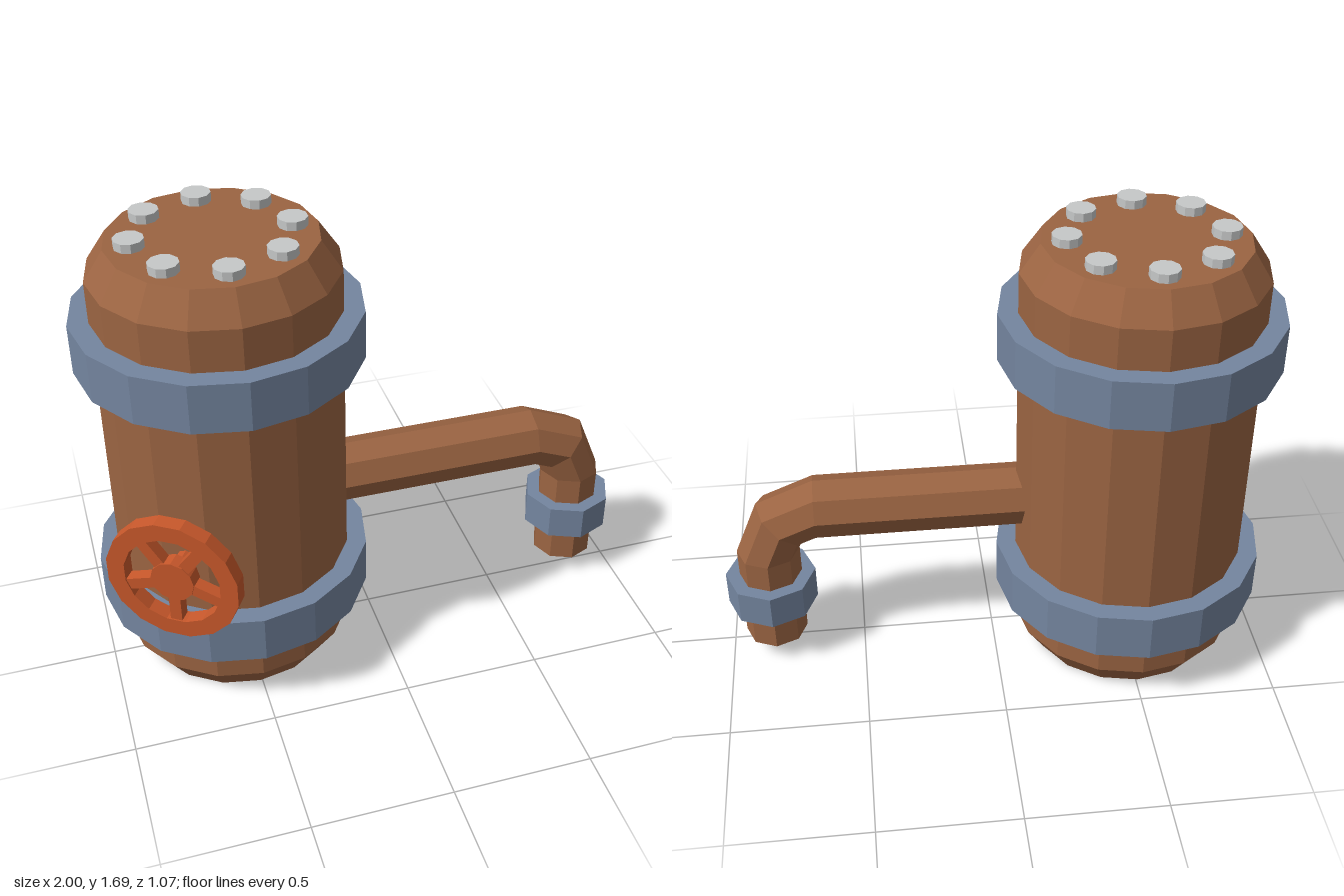
import * as THREE from 'three';

const flat = (name, color) => {
  const m = new THREE.MeshStandardMaterial({ color, flatShading: true });
  m.name = name;
  return m;
};

// Eight-sided pipe swept through a list of sections [x, y, angle of the outer side]
function pipeGeometry(sections, radius, sides) {
  const pos = [], idx = [];
  for (const [x, y, a] of sections) {
    for (let j = 0; j < sides; j++) {
      const t = (j / sides) * Math.PI * 2, r = radius * Math.cos(t);
      pos.push(x + r * Math.cos(a), y + r * Math.sin(a), radius * Math.sin(t));
    }
  }
  for (let i = 0; i < sections.length - 1; i++) {
    for (let j = 0; j < sides; j++) {
      const k = (j + 1) % sides, p = i * sides, q = p + sides;
      idx.push(p + j, p + k, q + k, p + j, q + k, q + j);
    }
  }
  // Cap at the outlet
  const end = (sections.length - 1) * sides;
  for (let j = 1; j < sides - 1; j++) idx.push(end, end + j, end + j + 1);
  const g = new THREE.BufferGeometry();
  g.setAttribute('position', new THREE.Float32BufferAttribute(pos, 3));
  g.setIndex(idx);
  g.computeVertexNormals();
  return g;
}

// Corners of a regular polygon with a flat top
const polygon = (r, n) => Array.from({ length: n }, (_, i) => {
  const a = ((i + 0.5) / n) * Math.PI * 2;
  return new THREE.Vector2(r * Math.cos(a), r * Math.sin(a));
});

export function createModel() {
  const copper = flat('copper', 0x9b6442);
  const steel = flat('blue steel', 0x74859f);
  const silver = flat('silver', 0xc6c8c8);
  const orange = flat('orange', 0xc8582b);

  const model = new THREE.Group();
  model.name = 'boilerTank';
  const add = (name, geo, mat, x, y, z, parent = model) => {
    const m = new THREE.Mesh(geo, mat);
    m.name = name;
    m.position.set(x, y, z);
    parent.add(m);
    return m;
  };

  // Tank with chamfered ends
  const tank = new THREE.Group();
  tank.name = 'tank';
  tank.position.set(-0.507, 0, -0.048);
  model.add(tank);
  const profile = [[0, 0], [0.352, 0], [0.422, 0.105], [0.422, 1.55], [0.352, 1.655], [0, 1.655]]
    .map(([r, y]) => new THREE.Vector2(r, y));
  add('tankBody', new THREE.LatheGeometry(profile, 16), copper, 0, 0, 0, tank);

  // Steel bands
  for (const y of [0.335, 1.313]) {
    add('band', new THREE.CylinderGeometry(0.493, 0.493, 0.178, 16), steel, 0, y, 0, tank);
  }

  // Lid bolts
  for (let i = 0; i < 8; i++) {
    const a = (i / 8) * Math.PI * 2;
    add('bolt', new THREE.CylinderGeometry(0.051, 0.051, 0.04, 10), silver,
      0.266 * Math.sin(a), 1.666, 0.266 * Math.cos(a), tank);
  }

  // Outlet pipe with an elbow, and its collar
  const bend = 0.182, cx = 0.65, cy = 0.458;
  const sections = [[-0.25, 0.64, Math.PI / 2]];
  for (const a of [Math.PI / 2, Math.PI / 4, 0]) {
    sections.push([cx + bend * Math.cos(a), cy + bend * Math.sin(a), a]);
  }
  sections.push([0.832, 0.075, 0]);
  add('outletPipe', pipeGeometry(sections, 0.115, 8), copper, 0, 0, -0.035);
  add('pipeCollar', new THREE.CylinderGeometry(0.166, 0.166, 0.13, 8), steel, 0.833, 0.285, -0.035);

  // Valve wheel: rim, hub, five spokes and a short stem
  const wheel = new THREE.Group();
  wheel.name = 'valveWheel';
  wheel.position.set(-0.787, 0.643, 0.382);
  wheel.rotation.y = -0.583;
  model.add(wheel);
  const rim = new THREE.Shape(polygon(0.238, 16));
  rim.holes.push(new THREE.Path(polygon(0.174, 16)));
  add('rim', new THREE.ExtrudeGeometry(rim, { depth: 0.054, bevelEnabled: false }), orange, 0, 0, -0.027, wheel);
  const hub = add('hub', new THREE.CylinderGeometry(0.078, 0.078, 0.054, 12), orange, 0, 0, 0, wheel);
  hub.rotation.x = Math.PI / 2;
  for (let i = 0; i < 5; i++) {
    const a = -Math.PI / 2 + (i / 5) * Math.PI * 2;
    const spoke = add('spoke', new THREE.BoxGeometry(0.14, 0.042, 0.044), orange,
      0.12 * Math.cos(a), 0.12 * Math.sin(a), 0, wheel);
    spoke.rotation.z = a;
  }
  const stem = add('stem', new THREE.CylinderGeometry(0.035, 0.035, 0.12, 8), orange, 0, 0, -0.07, wheel);
  stem.rotation.x = Math.PI / 2;

  return model;
}
